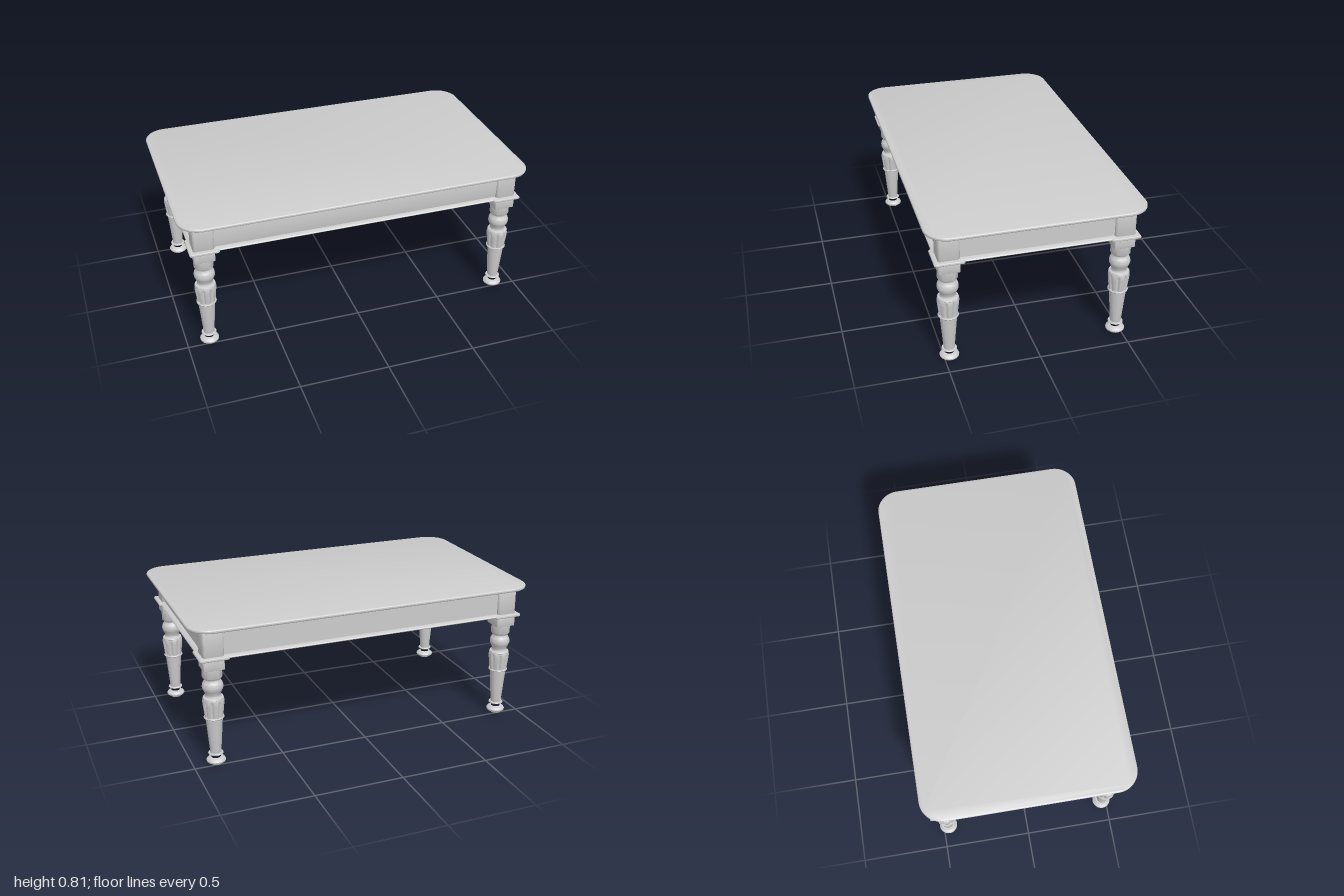
import * as THREE from 'three';
import { toCreasedNormals } from 'three/addons/utils/BufferGeometryUtils.js';

const grey = new THREE.MeshStandardMaterial({ color: 0xcccccc });
const LEG_X = 0.873, LEG_Z = 0.472;

function add(parent, name, geometry) {
  const mesh = new THREE.Mesh(geometry, grey);
  mesh.name = name;
  parent.add(mesh);
  return mesh;
}

// Rounded rectangle slab lying flat, with softened edges
function slab(halfX, halfZ, radius, y0, y1, bevel) {
  const x = halfX - bevel, z = halfZ - bevel, r = Math.max(radius - bevel, 0.001);
  const s = new THREE.Shape();
  s.absarc(x - r, z - r, r, 0, Math.PI / 2);
  s.absarc(-x + r, z - r, r, Math.PI / 2, Math.PI);
  s.absarc(-x + r, -z + r, r, Math.PI, Math.PI * 1.5);
  s.absarc(x - r, -z + r, r, Math.PI * 1.5, Math.PI * 2);
  s.closePath();
  const g = new THREE.ExtrudeGeometry(s, {
    depth: y1 - y0 - 2 * bevel, bevelSize: bevel, bevelThickness: bevel, bevelSegments: 4, curveSegments: 14,
  });
  g.rotateX(-Math.PI / 2).translate(0, y0 + bevel, 0);
  return toCreasedNormals(g, 0.6);
}

// Turned part from [radius, height] pairs; smooth profiles pass through a spline
function turned(pairs, smooth = false) {
  let pts = pairs.map(([r, y]) => new THREE.Vector2(r, y));
  if (smooth) pts = new THREE.SplineCurve(pts).getPoints(pairs.length * 4);
  return toCreasedNormals(new THREE.LatheGeometry(pts, 32), 0.6);
}

// Carved bulb: a turned shape whose radius is cut by eight rounded grooves
function carvedBulb() {
  const profile = new THREE.SplineCurve([
    [0.05, 0.283], [0.053, 0.31], [0.057, 0.345], [0.0595, 0.375], [0.055, 0.395],
  ].map(([r, y]) => new THREE.Vector2(r, y))).getPoints(14);
  const g = new THREE.LatheGeometry(profile, 96);
  const p = g.attributes.position;
  for (let i = 0; i < p.count; i++) {
    const x = p.getX(i), y = p.getY(i), z = p.getZ(i);
    const groove = Math.pow(Math.abs(Math.sin(Math.atan2(z, x) * 4)), 8);
    const fade = THREE.MathUtils.smoothstep(0.39 - y, 0, 0.02);
    const k = 1 - 0.14 * groove * fade;
    p.setXYZ(i, x * k, y, z * k);
  }
  return toCreasedNormals(g, 0.5);
}

function createLeg() {
  const leg = new THREE.Group();
  leg.name = 'leg';
  // square post, collar moulding and block
  add(leg, 'cornerPost', slab(0.0575, 0.0575, 0.014, 0.635, 0.797, 0.001));
  add(leg, 'collarMoulding', slab(0.081, 0.081, 0.012, 0.625, 0.642, 0.007));
  add(leg, 'squareBlock', slab(0.0575, 0.0575, 0.006, 0.565, 0.628, 0.002));
  // turned upper leg
  add(leg, 'roundNeck', turned([[0, 0.512], [0.052, 0.512], [0.054, 0.515], [0.054, 0.567], [0, 0.567]]));
  add(leg, 'turnedBulb', turned([
    [0.05, 0.392], [0.044, 0.403], [0.042, 0.412], [0.046, 0.427], [0.055, 0.447], [0.057, 0.463],
    [0.053, 0.48], [0.044, 0.495], [0.043, 0.504], [0.05, 0.514],
  ], true));
  add(leg, 'bulbRim', turned([[0.04, 0.388], [0.054, 0.388], [0.057, 0.393], [0.054, 0.399], [0.042, 0.403]]));
  add(leg, 'carvedBulb', carvedBulb());
  add(leg, 'middleRing', turned([[0.04, 0.276], [0.053, 0.276], [0.056, 0.28], [0.053, 0.286], [0.04, 0.286]]));
  // taper, ankle and foot
  add(leg, 'taperedShaft', turned([[0.029, 0.065], [0.031, 0.08], [0.047, 0.278]]));
  add(leg, 'ankleRing', turned([[0.026, 0.06], [0.039, 0.06], [0.042, 0.064], [0.039, 0.069], [0.028, 0.069]]));
  add(leg, 'ankle', turned([[0.036, 0.062], [0.029, 0.054], [0.028, 0.047], [0.034, 0.038]], true));
  add(leg, 'foot', turned([
    [0, 0], [0.031, 0], [0.031, 0.006], [0.045, 0.01], [0.052, 0.017], [0.053, 0.024], [0.048, 0.032], [0.034, 0.039],
    [0.026, 0.041],
  ]));
  return leg;
}

// Apron board with its lower moulding; outer face looks along +z
function createApron(name, length, faceZ, bulge) {
  const group = new THREE.Group();
  group.name = name;
  const extrude = (shape) => {
    const g = new THREE.ExtrudeGeometry(shape, { depth: length, bevelEnabled: false, curveSegments: 12 });
    g.rotateY(-Math.PI / 2).translate(length / 2, 0, 0);
    return toCreasedNormals(g, 0.6);
  };
  const board = new THREE.Shape();
  board.moveTo(faceZ - 0.045, 0.638);
  board.lineTo(faceZ, 0.638);
  board.quadraticCurveTo(faceZ + 2 * bulge, 0.716, faceZ, 0.797);
  board.lineTo(faceZ - 0.045, 0.797);
  board.closePath();
  add(group, 'apronBoard', extrude(board));
  const lip = new THREE.Shape();
  lip.moveTo(faceZ - 0.06, 0.629);
  lip.lineTo(faceZ + 0.022, 0.629);
  lip.quadraticCurveTo(faceZ + 0.036, 0.635, faceZ + 0.022, 0.642);
  lip.lineTo(faceZ, 0.645);
  lip.lineTo(faceZ - 0.06, 0.645);
  lip.closePath();
  add(group, 'apronMoulding', extrude(lip));
  return group;
}

export function createModel() {
  const table = new THREE.Group();
  table.name = 'table';
  add(table, 'tableTop', slab(1, 0.593, 0.125, 0.795, 0.815, 0.008));

  for (const sx of [-1, 1]) for (const sz of [-1, 1]) {
    const leg = createLeg();
    leg.position.set(sx * LEG_X, 0, sz * LEG_Z);
    table.add(leg);
  }

  // long aprons front and back (the front one is bowed), short ones at the ends
  const longLength = 2 * (LEG_X - 0.05), shortLength = 2 * (LEG_Z - 0.05);
  const front = createApron('frontApron', longLength, 0.51, 0.008);
  const back = createApron('backApron', longLength, 0.515, 0);
  back.rotation.y = Math.PI;
  const left = createApron('leftApron', shortLength, 0.915, 0);
  left.rotation.y = Math.PI / 2;
  const right = createApron('rightApron', shortLength, 0.915, 0);
  right.rotation.y = -Math.PI / 2;
  table.add(front, back, left, right);
  return table;
}
